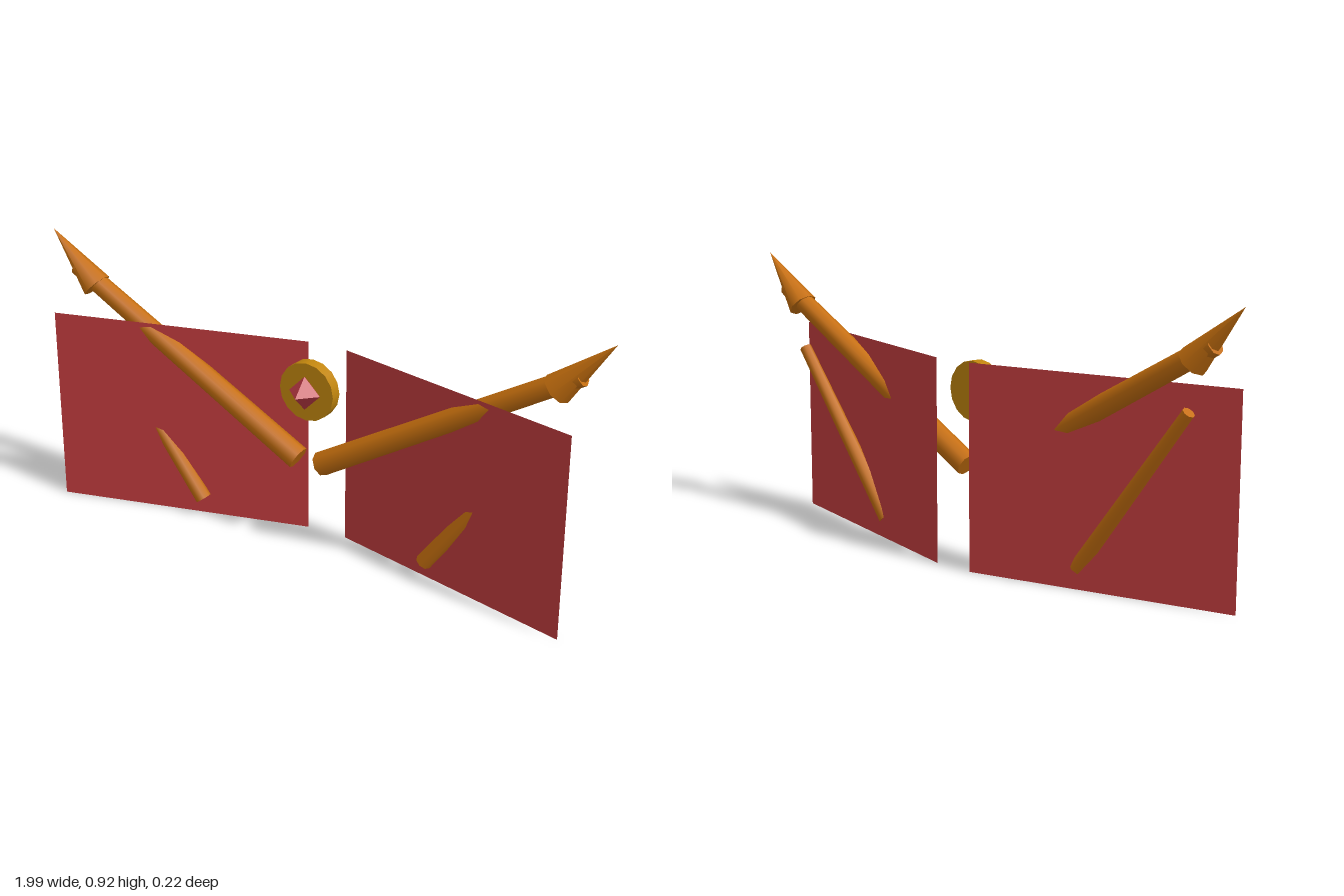
import * as THREE from 'three';

const bone = new THREE.MeshStandardMaterial({ name: 'amber bone', color: 0xc66f0e });
const gold = new THREE.MeshStandardMaterial({ name: 'dark gold', color: 0xc2860d });
const red = new THREE.MeshStandardMaterial({ name: 'membrane red', color: 0xc23c3e, side: THREE.DoubleSide });
const gemRed = new THREE.MeshStandardMaterial({ name: 'gem red', color: 0xc03a46, flatShading: true });

// Tapered round rod in the x-y plane from point a to point b
function rod(name, a, b, ra, rb) {
  const dx = b[0] - a[0], dy = b[1] - a[1];
  const geo = new THREE.CylinderGeometry(rb, ra, Math.hypot(dx, dy), 8);
  const mesh = new THREE.Mesh(geo, bone);
  mesh.name = name;
  mesh.position.set((a[0] + b[0]) / 2, (a[1] + b[1]) / 2, 0);
  mesh.rotation.z = Math.atan2(dy, dx) - Math.PI / 2;
  return mesh;
}

// One wing; s is +1 for the model's left, -1 for its right
function wing(s) {
  const group = new THREE.Group();
  group.name = s > 0 ? 'leftWing' : 'rightWing';

  // Upper bone, lower strut and the claw at the wing tip
  group.add(rod('upperBone', [s * 0.042, 0.308], [s * 0.9, 0.803], 0.04, 0.032));
  group.add(rod('lowerStrut', [s * 0.418, 0.062], [s * 0.817, 0.6], 0.027, 0.02));
  group.add(rod('claw', [s * 0.826, 0.746], [s * 0.996, 0.916], 0.05, 0));

  // Flat membrane, its outer edge swung forward
  const membrane = new THREE.Mesh(new THREE.PlaneGeometry(Math.hypot(0.853, 0.218), 0.666), red);
  membrane.name = 'membrane';
  membrane.position.set(s * 0.4965, 0.333, 0);
  membrane.rotation.y = -s * Math.atan2(0.218, 0.853);
  group.add(membrane);
  return group;
}

export function createModel() {
  const model = new THREE.Group();
  model.name = 'wings';
  for (const s of [1, -1]) model.add(wing(s));

  // Round clasp between the wings
  const clasp = new THREE.Mesh(new THREE.CylinderGeometry(0.097, 0.097, 0.04, 16), gold);
  clasp.name = 'clasp';
  clasp.rotation.x = Math.PI / 2;
  clasp.position.set(0, 0.555, 0);
  model.add(clasp);

  // Gem set in the clasp
  const gem = new THREE.Mesh(new THREE.OctahedronGeometry(0.056), gemRed);
  gem.name = 'gem';
  gem.position.set(0, 0.555, 0.03);
  model.add(gem);
  return model;
}
